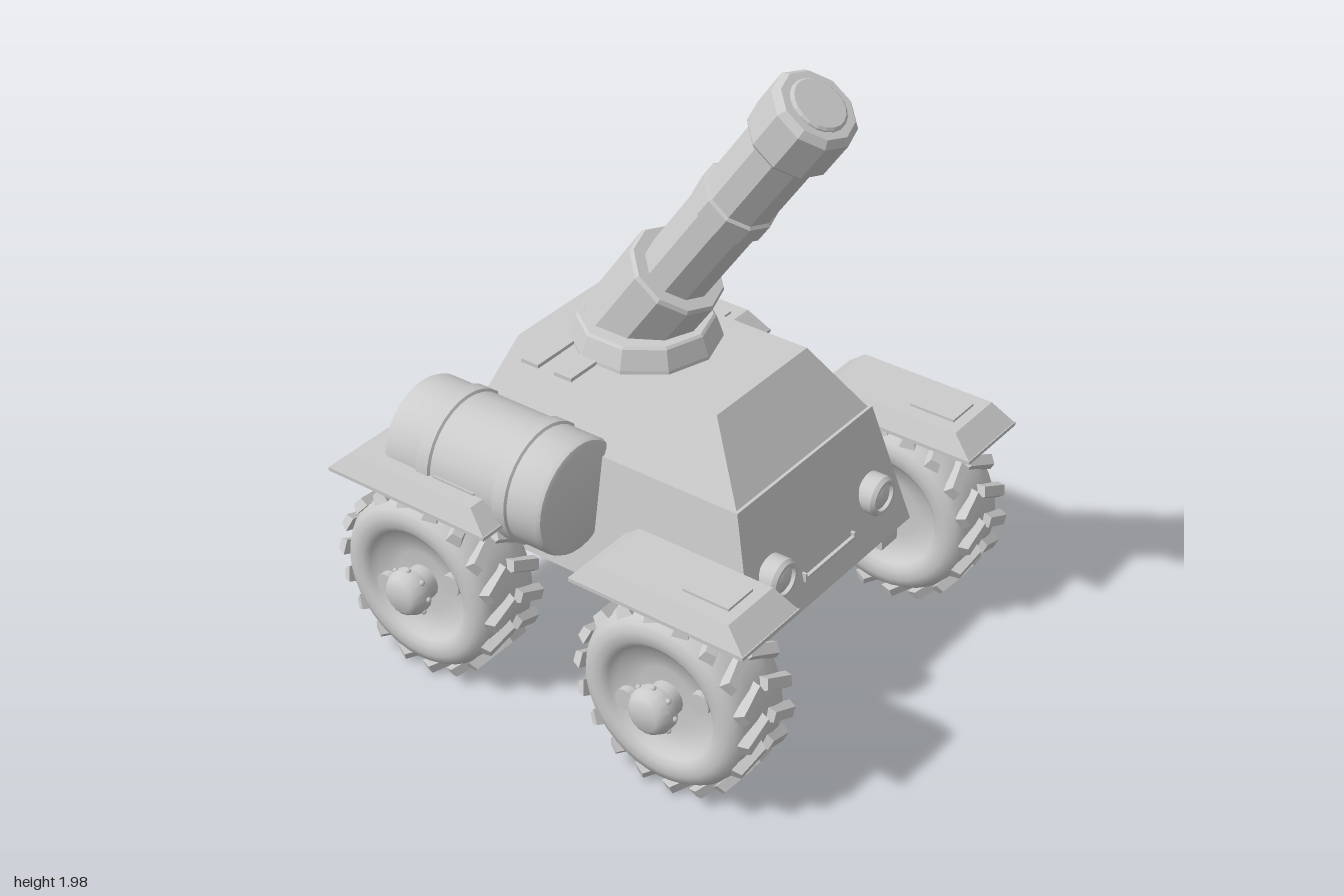
import * as THREE from 'three';
import { toCreasedNormals } from 'three/addons/utils/BufferGeometryUtils.js';

const smooth = new THREE.MeshStandardMaterial({ color: 0xcccccc });
const faceted = new THREE.MeshStandardMaterial({ color: 0xcccccc, flatShading: true });

function add(parent, name, geometry, x = 0, y = 0, z = 0, material = smooth) {
  const mesh = new THREE.Mesh(geometry, material);
  mesh.name = name;
  mesh.position.set(x, y, z);
  parent.add(mesh);
  return mesh;
}

const box = (w, h, d) => new THREE.BoxGeometry(w, h, d);

// Box whose top and bottom rectangles differ: [halfX, zBack, zFront]
function frustum(y0, y1, bottom, top) {
  const g = box(2, 2, 2);
  const p = g.attributes.position;
  for (let i = 0; i < p.count; i++) {
    const up = p.getY(i) > 0;
    const r = up ? top : bottom;
    p.setXYZ(i, p.getX(i) * r[0], up ? y1 : y0, p.getZ(i) > 0 ? r[2] : r[1]);
  }
  g.computeVertexNormals();
  return g;
}

// Turned solid from [radius, height] pairs, rising along y
function turned(points, sides, crease = 0.6) {
  const g = new THREE.LatheGeometry(points.map(([r, h]) => new THREE.Vector2(r, h)), sides);
  return toCreasedNormals(g, crease);
}

const tyreGeometry = turned([
  [0, -0.075], [0.10, -0.075], [0.17, -0.085], [0.185, -0.11], [0.205, -0.123], [0.235, -0.124],
  [0.262, -0.115], [0.28, -0.09], [0.287, -0.04], [0.287, 0.04], [0.28, 0.09], [0.262, 0.115],
  [0.235, 0.124], [0.205, 0.123], [0.185, 0.11], [0.17, 0.085], [0.10, 0.075], [0, 0.075],
], 40, 0.9).rotateZ(-Math.PI / 2);
const lugGeometry = frustum(-0.014, 0.016, [0.062, -0.024, 0.024], [0.052, -0.016, 0.016]).rotateX(Math.PI / 2);
const hubGeometry = turned([[0, 0], [0.055, 0], [0.055, 0.06], [0.074, 0.065], [0.074, 0.095], [0.06, 0.12], [0.045, 0.13], [0, 0.13]], 16);

// Wheel with hub, bolts and chevron tread; s is the side its outer face is on
function makeWheel(s) {
  const wheel = new THREE.Group();
  wheel.name = 'wheel';
  add(wheel, 'tyre', tyreGeometry);
  const hub = add(wheel, 'hub', hubGeometry, 0.06 * s);
  hub.rotation.z = -s * Math.PI / 2;
  const boltGeometry = new THREE.CylinderGeometry(0.035, 0.035, 0.05, 16).rotateZ(Math.PI / 2);
  for (const k of [-1, 1]) add(wheel, 'rimBolt', boltGeometry, 0.08 * s, 0.055 * k, 0.13 * k);
  for (let i = 0; i < 8; i++) {
    const a = (i / 8) * Math.PI * 2;
    add(wheel, 'hubStud', new THREE.SphereGeometry(0.009, 8, 6), 0.14 * s, 0.074 * Math.sin(a), 0.074 * Math.cos(a));
  }
  const count = 18;
  for (let i = 0; i < count; i++) {
    const row = new THREE.Group();
    row.name = 'treadRow';
    row.rotation.x = (i / count) * Math.PI * 2;
    for (const k of [-1, 1]) add(row, 'treadLug', lugGeometry, 0.06 * k, 0, 0.292).rotation.z = -0.42 * k;
    wheel.add(row);
  }
  return wheel;
}

export function createModel() {
  const model = new THREE.Group();
  model.name = 'wheeledCannon';

  // Hull
  add(model, 'lowerHull', frustum(0.38, 0.78, [0.415, -0.585, 0.58], [0.345, -0.495, 0.47]));
  add(model, 'upperHull', frustum(0.78, 0.985, [0.335, -0.485, 0.46], [0.225, -0.415, 0.31]));
  for (const z of [-0.283, -0.16]) add(model, 'roofStrap', box(0.67, 0.012, 0.064), 0, 0.99, z);

  // Front fittings
  const lampGeometry = turned([[0, 0], [0.064, 0], [0.064, 0.05], [0.055, 0.062], [0.045, 0.062], [0.043, 0.05], [0.025, 0.06], [0, 0.063]], 24);
  lampGeometry.rotateX(Math.PI / 2);
  for (const s of [-1, 1]) {
    add(model, 'headlight', lampGeometry, 0.257 * s, 0.545, 0.522);
    add(model, 'slotEnd', box(0.008, 0.028, 0.02), 0.127 * s, 0.47, 0.556);
  }
  add(model, 'frontSlot', box(0.26, 0.012, 0.02), 0, 0.465, 0.556);
  add(model, 'sideHatch', box(0.01, 0.124, 0.152), 0.42, 0.624, 0.078);

  // Axles, wheels and mudguards
  const axleGeometry = new THREE.CylinderGeometry(0.063, 0.063, 1, 20).rotateZ(Math.PI / 2);
  for (const end of [-1, 1]) {
    const z = 0.455 * end;
    add(model, 'axle', axleGeometry, 0, 0.318, z);
    for (const s of [-1, 1]) {
      add(model, 'axleBlock', box(0.085, 0.12, 0.125), 0.405 * s, 0.318, z);
      const wheel = makeWheel(s);
      wheel.position.set(0.577 * s, 0.318, z);
      model.add(wheel);
      const guard = new THREE.Group();
      guard.name = 'mudguard';
      guard.position.set(0.58 * s, 0, z);
      add(guard, 'guardRim', frustum(0.628, 0.64, [0.135, -0.3, 0.3], [0.135, -0.3, 0.3]));
      add(guard, 'guardTop', frustum(0.64, 0.7, [0.132, -0.297, 0.297], [0.105, -0.23, 0.23]));
      model.add(guard);
      add(model, 'guardPlate', box(0.115, 0.012, 0.155), 0.578 * s, 0.702, end > 0 ? 0.573 : -0.333);
    }
  }

  // Storage drum with two bands
  const drum = turned([
    [0, -0.3], [0.165, -0.3], [0.178, -0.294], [0.184, -0.28], [0.184, -0.17], [0.192, -0.165], [0.192, -0.12],
    [0.184, -0.115], [0.184, 0.12], [0.192, 0.125], [0.192, 0.17], [0.184, 0.175],
    [0.184, 0.28], [0.178, 0.294], [0.165, 0.3], [0, 0.3],
  ], 32).rotateX(Math.PI / 2);
  add(model, 'storageDrum', drum, -0.448, 0.69, -0.31);

  // Turret ring
  const ring = turned([[0, 0.98], [0.23, 0.98], [0.228, 0.995], [0.208, 1.055], [0.2, 1.062], [0, 1.062]], 10, 0);
  add(model, 'turretRing', ring, 0, 0, -0.112, faceted);

  // Cannon, built along y and tilted forward; its origin is the muzzle
  const cannon = new THREE.Group();
  cannon.name = 'cannon';
  cannon.position.set(0, 1.918, 0.472);
  cannon.rotation.x = THREE.MathUtils.degToRad(35);
  const sections = {
    sleeve: [[0, -1.13], [0.15, -1.13], [0.155, -1.12], [0.155, -0.82], [0.147, -0.808], [0.105, -0.808]],
    barrel: [[0.11, -0.95], [0.11, -0.1]],
    barrelBand: [[0.108, -0.505], [0.12, -0.498], [0.12, -0.43], [0.108, -0.423]],
    muzzle: [[0.1, -0.165], [0.126, -0.165], [0.134, -0.153], [0.134, -0.02], [0.115, 0], [0, 0]],
    muzzlePlug: [[0.088, -0.01], [0.088, 0.004], [0.08, 0.01], [0, 0.01]],
  };
  for (const [name, points] of Object.entries(sections)) {
    add(cannon, name, turned(points, name === 'muzzlePlug' ? 20 : 10, 0), 0, 0, 0, faceted);
  }
  model.add(cannon);

  return model;
}
